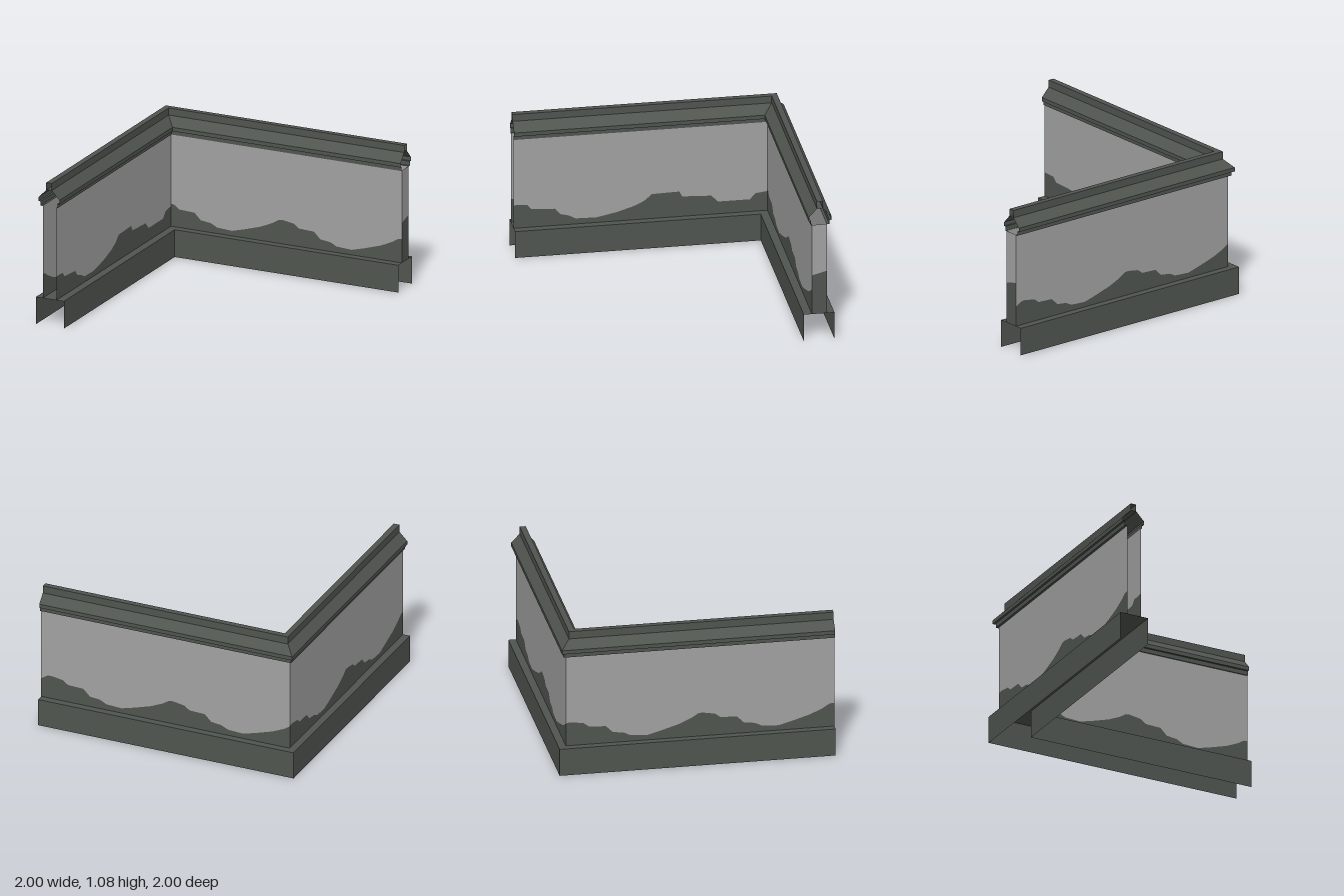
import * as THREE from 'three';

const trim = new THREE.MeshStandardMaterial({ color: 0x505550, side: THREE.DoubleSide });
trim.name = 'dark grey green';
const plaster = new THREE.MeshStandardMaterial({ color: 0xa2a2a2, side: THREE.DoubleSide });
plaster.name = 'light grey';

const WALL_BOTTOM = 0.205, WALL_TOP = 0.9;
const OUT = -0.945, IN = -0.837; // wall faces, the same on both legs

// Sweeps a profile of [inset from outer edge, height] round the mitred L
function moulding(name, profile) {
  const path = (d) => [[1, -1 + d], [-1 + d, -1 + d], [-1 + d, 1]];
  const pos = [];
  for (let i = 0; i + 1 < profile.length; i++) {
    const [d0, y0] = profile[i], [d1, y1] = profile[i + 1];
    const p = path(d0), q = path(d1);
    for (let k = 0; k < 2; k++) {
      const a = [p[k][0], y0, p[k][1]], b = [p[k + 1][0], y0, p[k + 1][1]];
      const c = [q[k + 1][0], y1, q[k + 1][1]], d = [q[k][0], y1, q[k][1]];
      pos.push(...a, ...b, ...c, ...a, ...c, ...d);
    }
  }
  const g = new THREE.BufferGeometry();
  g.setAttribute('position', new THREE.Float32BufferAttribute(pos, 3));
  g.computeVertexNormals();
  const mesh = new THREE.Mesh(g, trim);
  mesh.name = name;
  return mesh;
}

// Flat wall face: dark stain below the uneven edge, light plaster above
function wallFace(name, x, z, angle, edge) {
  const group = new THREE.Group();
  group.name = name;
  const length = edge[edge.length - 1][0];
  const add = (part, y, material) => {
    const pts = [[0, y], ...edge, [length, y]].map((p) => new THREE.Vector2(...p));
    const mesh = new THREE.Mesh(new THREE.ShapeGeometry(new THREE.Shape(pts)), material);
    mesh.name = part;
    group.add(mesh);
  };
  add('lowerStain', WALL_BOTTOM, trim);
  add('upperPlaster', WALL_TOP, plaster);
  group.position.set(x, 0, z);
  group.rotation.y = angle;
  return group;
}

// Repeating stain edge, cut to a wall length; peak is the position of one crest
const TILE = [[0, 0.385], [0.09, 0.37], [0.13, 0.34], [0.25, 0.335], [0.3, 0.285], [0.38, 0.275],
  [0.43, 0.25], [0.55, 0.243], [0.65, 0.27], [0.78, 0.31], [0.87, 0.35], [0.92, 0.382]];
const PERIOD = 0.95;
function stainEdge(length, peak) {
  const all = [];
  for (let n = -2; n < 4; n++) TILE.forEach(([u, y]) => all.push([u + peak + n * PERIOD, y]));
  const at = (u) => {
    const i = all.findIndex((p) => p[0] > u), [a, b] = [all[i - 1], all[i]];
    return a[1] + (b[1] - a[1]) * (u - a[0]) / (b[0] - a[0]);
  };
  const inside = all.filter(([u]) => u > 0.001 && u < length - 0.001);
  return [[0, at(0)], ...inside, [length, at(length)]];
}

export function createModel() {
  const model = new THREE.Group();
  model.name = 'cornerWall';

  // Plinth, open underneath
  model.add(moulding('plinth', [[0, 0], [0, 0.205], [0.222, 0.205], [0.222, 0]]));

  // Sloped coping and the rail along its ridge
  model.add(moulding('coping', [[0.055, 0.898], [0.037, 0.898], [0.037, 0.93], [0.021, 0.93],
    [0.021, 0.959], [0.085, 1.024], [0.126, 1.024], [0.187, 0.959], [0.187, 0.93],
    [0.171, 0.93], [0.171, 0.898], [0.163, 0.898]]));
  model.add(moulding('ridgeRail', [[0.082, 1.02], [0.082, 1.077], [0.126, 1.077], [0.126, 1.02]]));

  // Inner and outer wall faces
  const innerLength = 1 - IN, outerLength = 1 - OUT, half = Math.PI / 2;
  const sideEdge = [[0, 0.385], [0.1, 0.38], [0.13, 0.345], [0.3, 0.335], [0.34, 0.29], [0.4, 0.275],
    [0.45, 0.248], [0.6, 0.245], [0.75, 0.275], [0.88, 0.315], [0.95, 0.35], [1, 0.395], [1.2, 0.4],
    [1.22, 0.36], [1.43, 0.35], [1.48, 0.3], [1.71, 0.3], [1.75, 0.345], [innerLength, 0.355]];
  model.add(wallFace('backWallInner', IN, IN, 0, stainEdge(innerLength, 0.887)));
  model.add(wallFace('backWallOuter', 1, OUT, Math.PI, stainEdge(outerLength, 0.08)));
  model.add(wallFace('sideWallInner', IN, 1, half, sideEdge));
  model.add(wallFace('sideWallOuter', OUT, OUT, -half, stainEdge(outerLength, 0.04)));

  // End of the back wall and the partition inside the hollow side wall
  const width = IN - OUT;
  model.add(wallFace('backWallEnd', 1, IN, half, [[0, 0.507], [width, 0.535]]));
  model.add(wallFace('sideWallPartition', OUT, IN, 0, [[0, 0.535], [width, 0.507]]));
  return model;
}
